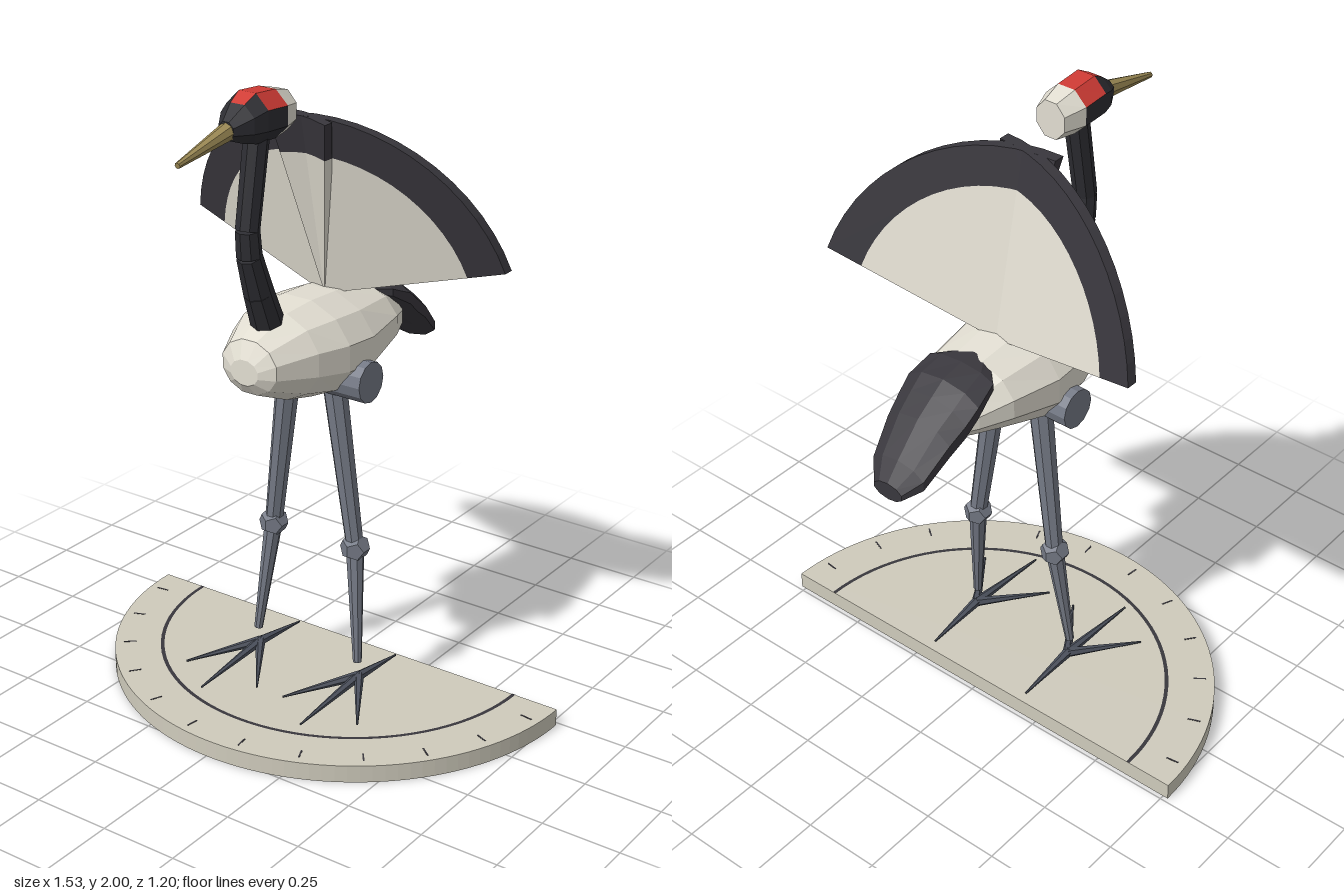
import * as THREE from 'three';

const mat = (name, color) => new THREE.MeshStandardMaterial({ name, color, flatShading: true });

export function createModel() {
  const white = mat('featherWhite', 0xe2ded2);
  const stone = mat('baseStone', 0xcfcbbc);
  const dark = mat('featherBlack', 0x39373d);
  const black = mat('neckBlack', 0x2e2e33);
  const red = mat('crownRed', 0xcf3b34);
  const tan = mat('beakTan', 0x9c8a55);
  const grey = mat('legGrey', 0x757a86);
  const slate = mat('footSlate', 0x4d525e);

  const root = new THREE.Group();
  root.name = 'crane';
  const add = (name, geo, material, parent = root) => {
    const m = new THREE.Mesh(geo, material);
    m.name = name;
    parent.add(m);
    return m;
  };
  const V = (x, y, z) => new THREE.Vector3(x, y, z);

  // Tapered rod between two points
  const rod = (name, a, b, ra, rb, sides, material, parent) => {
    const d = b.clone().sub(a);
    const m = add(name, new THREE.CylinderGeometry(rb, ra, d.length(), sides), material, parent);
    m.position.copy(a).addScaledVector(d, 0.5);
    m.quaternion.setFromUnitVectors(V(0, 1, 0), d.normalize());
    return m;
  };

  // Closed loft of elliptical rings [z, centreY, rx, ry] from front to back;
  // pick(ring, side) chooses the material slot of each facet
  const loft = (rings, sides, offset = 0, pick = () => 0) => {
    const pos = [], slots = [];
    const pt = (i, j) => {
      const [z, y, rx, ry] = rings[i];
      const t = ((j % sides) / sides) * Math.PI * 2 + offset;
      return [rx * Math.cos(t), y + ry * Math.sin(t), z];
    };
    const mid = (i) => [0, rings[i][1], rings[i][0]];
    const tri = (slot, ...p) => { pos.push(...p.flat()); slots.push(slot); };
    const n = rings.length - 1;
    for (let j = 0; j < sides; j++) {
      tri(pick(-1, j), mid(0), pt(0, j), pt(0, j + 1));
      for (let i = 0; i < n; i++) {
        tri(pick(i, j), pt(i, j), pt(i + 1, j), pt(i, j + 1));
        tri(pick(i, j), pt(i, j + 1), pt(i + 1, j), pt(i + 1, j + 1));
      }
      tri(pick(n, j), mid(n), pt(n, j + 1), pt(n, j));
    }
    const g = new THREE.BufferGeometry();
    g.setAttribute('position', new THREE.Float32BufferAttribute(pos, 3));
    g.computeVertexNormals();
    slots.forEach((s, k) => g.addGroup(k * 3, 3, s));
    return g;
  };

  // Half-round base with an inlaid ring and radial ticks
  const half = new THREE.Shape();
  half.absarc(0, 0, 0.767, 0, Math.PI, false);
  half.closePath();
  const base = new THREE.Group();
  base.name = 'base';
  base.position.z = -0.236;
  root.add(base);
  add('basePlate', new THREE.ExtrudeGeometry(half, { depth: 0.056, bevelEnabled: false, curveSegments: 32 })
    .rotateX(Math.PI / 2).translate(0, 0.056, 0), stone, base);
  add('baseRing', new THREE.RingGeometry(0.608, 0.62, 48, 1, Math.PI, Math.PI)
    .rotateX(-Math.PI / 2).translate(0, 0.057, 0), dark, base);
  for (let i = 0; i < 12; i++) {
    const t = ((i + 0.5) / 12) * Math.PI;
    const tick = add('baseTick', new THREE.BoxGeometry(0.04, 0.002, 0.005), dark, base);
    tick.position.set(0.72 * Math.cos(t), 0.056, 0.72 * Math.sin(t));
    tick.rotation.y = -t;
  }

  // Body and drooping tail
  add('body', loft([
    [0.32, 1.175, 0.05, 0.04], [0.295, 1.185, 0.1, 0.085], [0.17, 1.185, 0.162, 0.14],
    [0.06, 1.178, 0.197, 0.158], [-0.06, 1.17, 0.2, 0.16], [-0.23, 1.187, 0.168, 0.118],
    [-0.33, 1.175, 0.12, 0.08], [-0.4, 1.16, 0.07, 0.04],
  ], 12, 0.26), white);
  add('tail', loft([
    [-0.21, 1.28, 0.06, 0.025], [-0.27, 1.27, 0.125, 0.036], [-0.35, 1.23, 0.138, 0.058],
    [-0.4, 1.19, 0.133, 0.064], [-0.46, 1.15, 0.122, 0.062], [-0.55, 1.07, 0.1, 0.048],
    [-0.597, 1.035, 0.055, 0.028],
  ], 10, 0.314), dark);

  // Curved neck made of tapered segments
  const neck = new THREE.Group();
  neck.name = 'neck';
  root.add(neck);
  const bends = [[1.27, 0.195, 0.052], [1.4, 0.247, 0.045], [1.52, 0.289, 0.038], [1.6, 0.296, 0.036], [1.88, 0.247, 0.038]];
  for (let i = 0; i < bends.length - 1; i++) {
    const [y0, z0, r0] = bends[i], [y1, z1, r1] = bends[i + 1];
    rod('neckSegment', V(0, y0, z0), V(0, y1, z1), r0, r1, 8, black, neck);
  }

  // Head: black face, red crown on the upper facets, white nape
  const k = 1 / Math.cos(Math.PI / 8);
  const headRings = [
    [0.388, 1.908, 0.026, 0.026], [0.335, 1.918, 0.058, 0.055], [0.29, 1.925, 0.072, 0.072],
    [0.2, 1.92, 0.072, 0.07], [0.13, 1.915, 0.05, 0.057],
  ].map(([z, y, rx, ry]) => [z, y, rx * k, ry * k]);
  add('head', loft(headRings, 8, Math.PI / 8, (i, j) => {
    if (i >= 3) return 2;
    return (i === 2 && j < 3) || (i === 1 && j === 1) ? 1 : 0;
  }), [black, red, white]);
  rod('beak', V(0, 1.908, 0.37), V(0, 1.862, 0.6), 0.028, 0.009, 8, tan);

  // Fanned wings: sheared ring sectors that cross slightly at the middle
  const fan = (r0, r1, side) => {
    const from = THREE.MathUtils.degToRad(14.5), to = THREE.MathUtils.degToRad(100);
    const steps = 14, pts = [];
    const arc = (r, a, b) => {
      for (let i = 0; i <= steps; i++) {
        const t = a + ((b - a) * i) / steps;
        pts.push(new THREE.Vector2(side * r * Math.cos(t), r * Math.sin(t)));
      }
    };
    arc(r1, from, to);
    if (r0 > 0) arc(r0, to, from);
    else pts.push(new THREE.Vector2(0, 0));
    const g = new THREE.ExtrudeGeometry(new THREE.Shape(pts), { depth: 0.036, bevelEnabled: false });
    const p = g.attributes.position;
    for (let i = 0; i < p.count; i++) {
      p.setZ(i, p.getZ(i) - 0.116 + 0.21 * p.getY(i) - 0.25 * side * p.getX(i));
    }
    g.translate(0, 1.3, 0).computeVertexNormals();
    return g;
  };

  for (const s of [1, -1]) {
    const label = s > 0 ? 'left' : 'right';
    const wing = new THREE.Group();
    wing.name = label + 'Wing';
    root.add(wing);
    add('wingPanel', fan(0, 0.457, s), white, wing);
    add('wingBand', fan(0.457, 0.574, s), dark, wing);

    // Leg: hip barrel, thigh, knee and shin
    const leg = new THREE.Group();
    leg.name = label + 'Leg';
    root.add(leg);
    rod('hip', V(s * 0.06, 1.088, -0.007), V(s * 0.22, 1.088, -0.007), 0.064, 0.064, 12, grey, leg);
    const knee = V(s * 0.155, 0.52, -0.026);
    rod('thigh', V(s * 0.078, 1.1, -0.012), knee, 0.039, 0.028, 8, grey, leg);
    add('knee', new THREE.DodecahedronGeometry(0.047), grey, leg).position.copy(knee);
    rod('shin', knee, V(s * 0.192, 0.147, 0.01), 0.029, 0.014, 8, grey, leg);

    // Foot: three spread front toes and one behind
    const foot = new THREE.Group();
    foot.name = label + 'Foot';
    root.add(foot);
    for (const [x, z] of [[0.19, 0.31], [0.33, 0.21], [0.05, 0.21], [0.19, -0.21]]) {
      rod('toe', V(s * 0.192, 0.092, 0), V(s * x, 0.068, z), 0.016, 0.003, 6, slate, foot);
    }
  }

  return root;
}
